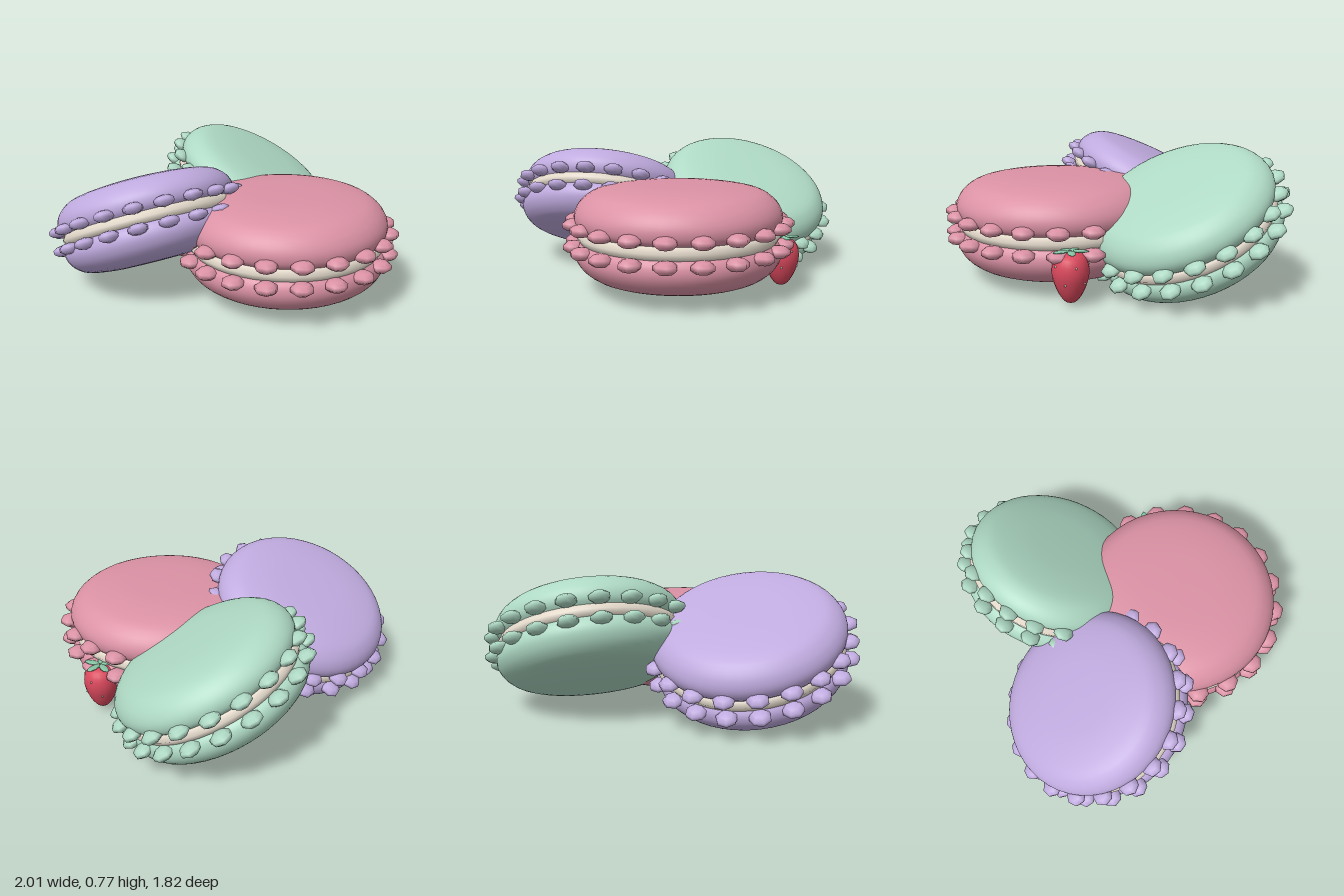
import * as THREE from 'three';

const material = (name, color) => {
  const m = new THREE.MeshStandardMaterial({ color });
  m.name = name;
  return m;
};

const mesh = (name, geometry, mat, parent) => {
  const m = new THREE.Mesh(geometry, mat);
  m.name = name;
  parent.add(m);
  return m;
};

const lathe = (points, segments) => new THREE.LatheGeometry(points.map(([r, y]) => new THREE.Vector2(r, y)), segments);

// Smooth profile of one domed shell, from the filling up to the crown
const shellCurve = new THREE.SplineCurve([
  [0.54, 0.03], [0.565, 0.06], [0.572, 0.105], [0.557, 0.15], [0.52, 0.195],
  [0.45, 0.235], [0.3, 0.26], [0.15, 0.267], [0, 0.269],
].map(([r, y]) => new THREE.Vector2(r, y)));
const shellGeometry = lathe(shellCurve.getPoints(24).map((p) => [Math.max(p.x, 0), p.y]), 48);
const fillingGeometry = lathe([[0.5, -0.045], [0.545, -0.035], [0.565, 0], [0.545, 0.035], [0.5, 0.045]], 48);
const beadGeometry = new THREE.SphereGeometry(0.064, 7, 5).scale(1, 0.55, 1);

// One sandwich biscuit: two shells, the filling and two rings of ruffle beads
function macaron(name, shellMaterial, cream, position, normal, scale, phase) {
  const group = new THREE.Group();
  group.name = name;
  mesh('filling', fillingGeometry, cream, group);
  for (const side of [1, -1]) {
    const shell = mesh(side > 0 ? 'upperShell' : 'lowerShell', shellGeometry, shellMaterial, group);
    if (side < 0) shell.rotation.x = Math.PI;
    for (let i = 0; i < 20; i++) {
      const a = phase + (i * Math.PI) / 10;
      const bead = mesh('ruffleBead', beadGeometry, shellMaterial, group);
      bead.position.set(Math.sin(a) * 0.576, side * 0.06, Math.cos(a) * 0.576);
      bead.rotation.y = a;
    }
  }
  group.position.set(...position);
  group.quaternion.setFromUnitVectors(new THREE.Vector3(0, 1, 0), new THREE.Vector3(...normal).normalize());
  group.scale.setScalar(scale);
  return group;
}

// Small strawberry with a leafy cap and seeds
function strawberry(red, leafGreen, cream) {
  const group = new THREE.Group();
  group.name = 'strawberry';
  const curve = new THREE.SplineCurve([
    [0, -0.135], [0.035, -0.12], [0.068, -0.07], [0.09, -0.01],
    [0.097, 0.04], [0.088, 0.09], [0.06, 0.125], [0, 0.14],
  ].map(([r, y]) => new THREE.Vector2(r, y)));
  const radiusAt = (y) => curve.getPoints(60).reduce((best, p) => (Math.abs(p.y - y) < Math.abs(best.y - y) ? p : best)).x;
  mesh('berry', lathe(curve.getPoints(18).map((p) => [Math.max(p.x, 0), p.y]), 20), red, group);

  // Leaves spread flat over the top
  const leafGeometry = new THREE.SphereGeometry(1, 8, 5).scale(0.022, 0.007, 0.048);
  for (let i = 0; i < 5; i++) {
    const a = (i * Math.PI * 2) / 5 + 0.3;
    const leaf = mesh('leaf', leafGeometry, leafGreen, group);
    leaf.position.set(Math.sin(a) * 0.05, 0.143, Math.cos(a) * 0.05);
    leaf.rotation.y = a;
  }

  // Seeds in staggered rows
  const seedGeometry = new THREE.SphereGeometry(0.006, 6, 4);
  [0.075, -0.015].forEach((y, row) => {
    for (let i = 0; i < 5; i++) {
      const a = ((i + row * 0.5) * Math.PI * 2) / 5 + 0.5;
      const r = radiusAt(y);
      mesh('seed', seedGeometry, cream, group).position.set(Math.sin(a) * r, y, Math.cos(a) * r);
    }
  });
  group.position.set(0.605, 0.143, 0.27);
  return group;
}

export function createModel() {
  const pink = material('pink', 0xdb92a5);
  const mint = material('mint', 0xaed9c4);
  const lavender = material('lavender', 0xbfaade);
  const cream = material('cream', 0xe9dfd0);
  const red = material('strawberryRed', 0xd9485c);
  const leafGreen = material('leafGreen', 0x86c4a4);

  const model = new THREE.Group();
  model.name = 'macarons';
  model.add(
    macaron('pinkMacaron', pink, cream, [0.03, 0.313, 0.27], [0, 1, 0], 1, 0.21),
    macaron('mintMacaron', mint, cream, [0.43, 0.381, -0.38], [0.22, 0.88, 0.43], 0.9, 0.1),
    macaron('lavenderMacaron', lavender, cream, [-0.435, 0.378, -0.362], [0.09, 0.9, -0.42], 0.9, 0.15),
    strawberry(red, leafGreen, cream),
  );
  return model;
}
